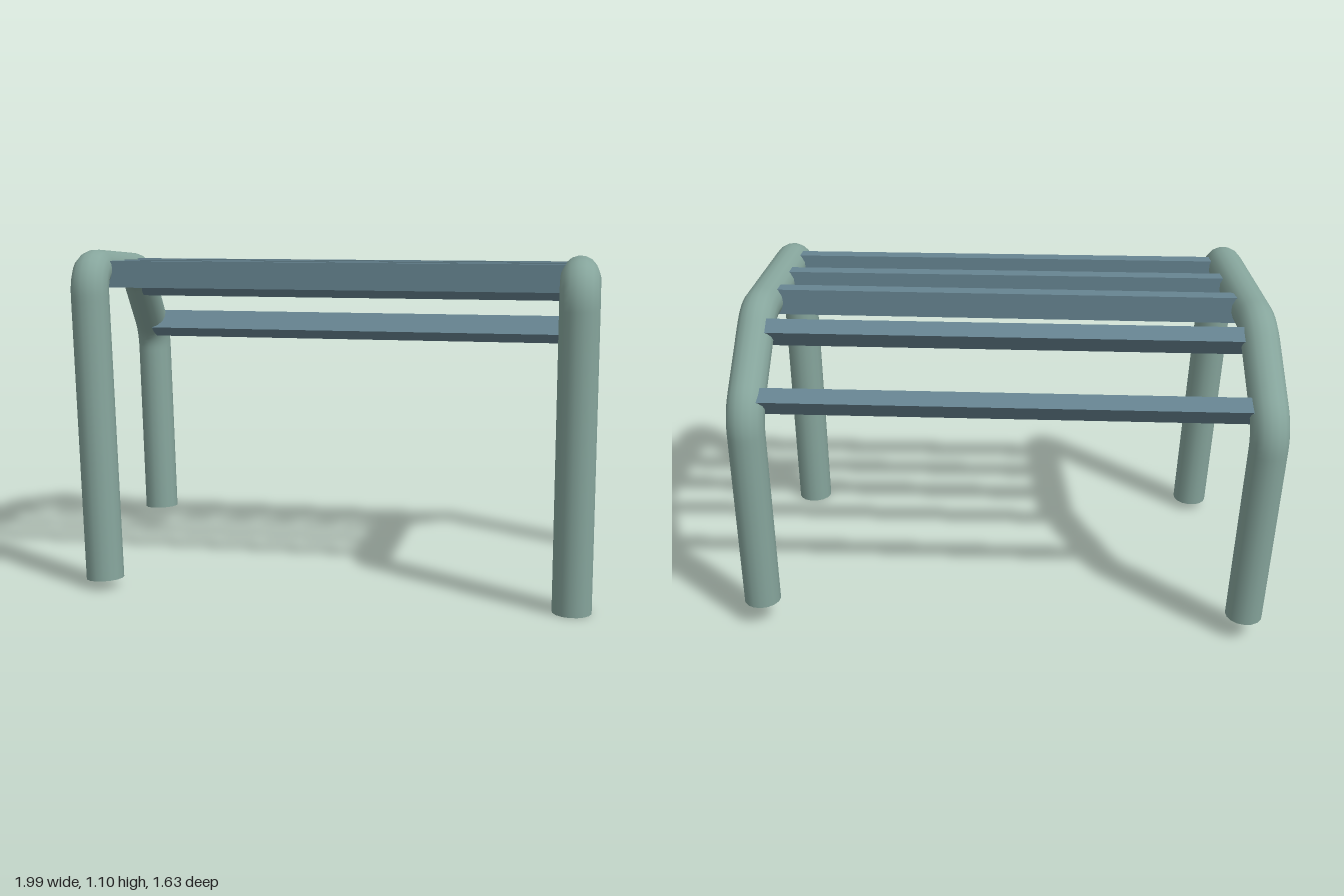
import * as THREE from 'three';

const V = (x, y, z) => new THREE.Vector3(x, y, z);
const RADIUS = 0.061;

// Straight runs joined by rounded corners
function bentPath(points, radii) {
  const path = new THREE.CurvePath();
  let from = points[0];
  for (let i = 1; i < points.length - 1; i++) {
    const p = points[i];
    const toward = (q) => p.clone().add(q.clone().sub(p).setLength(radii[i - 1]));
    const a = toward(points[i - 1]);
    const b = toward(points[i + 1]);
    path.add(new THREE.LineCurve3(from, a));
    path.add(new THREE.QuadraticBezierCurve3(a, p, b));
    from = b;
  }
  path.add(new THREE.LineCurve3(from, points[points.length - 1]));
  return path;
}

// Bent tube with closed feet
function makeFrame(name, points, material) {
  const group = new THREE.Group();
  group.name = name;
  const path = bentPath(points, [0.095, 0.06, 0.07]);
  const tube = new THREE.Mesh(new THREE.TubeGeometry(path, 140, RADIUS, 16, false), material);
  tube.name = 'bentTube';
  group.add(tube);
  const last = points.length - 1;
  for (const [end, next] of [[points[0], points[1]], [points[last], points[last - 1]]]) {
    const cap = new THREE.Mesh(new THREE.CircleGeometry(RADIUS, 16), material);
    cap.name = 'footCap';
    cap.position.copy(end);
    cap.quaternion.setFromUnitVectors(V(0, 0, 1), end.clone().sub(next).normalize());
    group.add(cap);
  }
  return group;
}

// Bar from a to b, its top leaning toward the back by tilt
function makeSlat(a, b, tilt, material) {
  const u = b.clone().sub(a);
  const length = u.length();
  u.normalize();
  const back = V(u.z, 0, -u.x).normalize();
  const lean = V(0, Math.cos(tilt), 0).addScaledVector(back, Math.sin(tilt));
  const w = u.clone().cross(lean).normalize();
  const n = w.clone().cross(u);
  const slat = new THREE.Mesh(new THREE.BoxGeometry(length, 0.086, 0.052), material);
  slat.name = 'slat';
  slat.quaternion.setFromRotationMatrix(new THREE.Matrix4().makeBasis(u, n, w));
  slat.position.copy(a).add(b).multiplyScalar(0.5);
  return slat;
}

export function createModel() {
  const model = new THREE.Group();
  model.name = 'slattedBench';
  const frameGreen = new THREE.MeshStandardMaterial({ color: 0x86a59c });
  frameGreen.name = 'frame green';
  const slatBlue = new THREE.MeshStandardMaterial({ color: 0x678592 });
  slatBlue.name = 'slat blue';

  // End frames, from front foot to back foot
  model.add(makeFrame('leftFrame', [
    V(0.935, 0, 0.02), V(0.935, 1.015, 0.02), V(0.638, 1.015, -0.515),
    V(0.505, 0.77, -0.755), V(0.505, 0.083, -0.755),
  ], frameGreen));
  model.add(makeFrame('rightFrame', [
    V(-0.38, 0.03, 0.757), V(-0.437, 1.04, 0.745), V(-0.79, 1.015, 0.24),
    V(-0.94, 0.77, 0.03), V(-0.905, 0.073, 0.04),
  ], frameGreen));

  // Slats, back to front; the two rear ones follow the slope
  const slats = new THREE.Group();
  slats.name = 'slats';
  const rows = [
    [V(-0.905, 0.805, 0.075), V(0.527, 0.80, -0.72), 0.72],
    [V(-0.81, 0.97, 0.22), V(0.613, 0.965, -0.565), 0.72],
    [V(-0.712, 1.018, 0.36), V(0.70, 1.013, -0.41), 0],
    [V(-0.6, 1.018, 0.52), V(0.79, 1.013, -0.25), 0],
    [V(-0.49, 1.018, 0.67), V(0.877, 1.013, -0.087), 0],
  ];
  for (const [a, b, tilt] of rows) slats.add(makeSlat(a, b, tilt, slatBlue));
  model.add(slats);
  return model;
}
